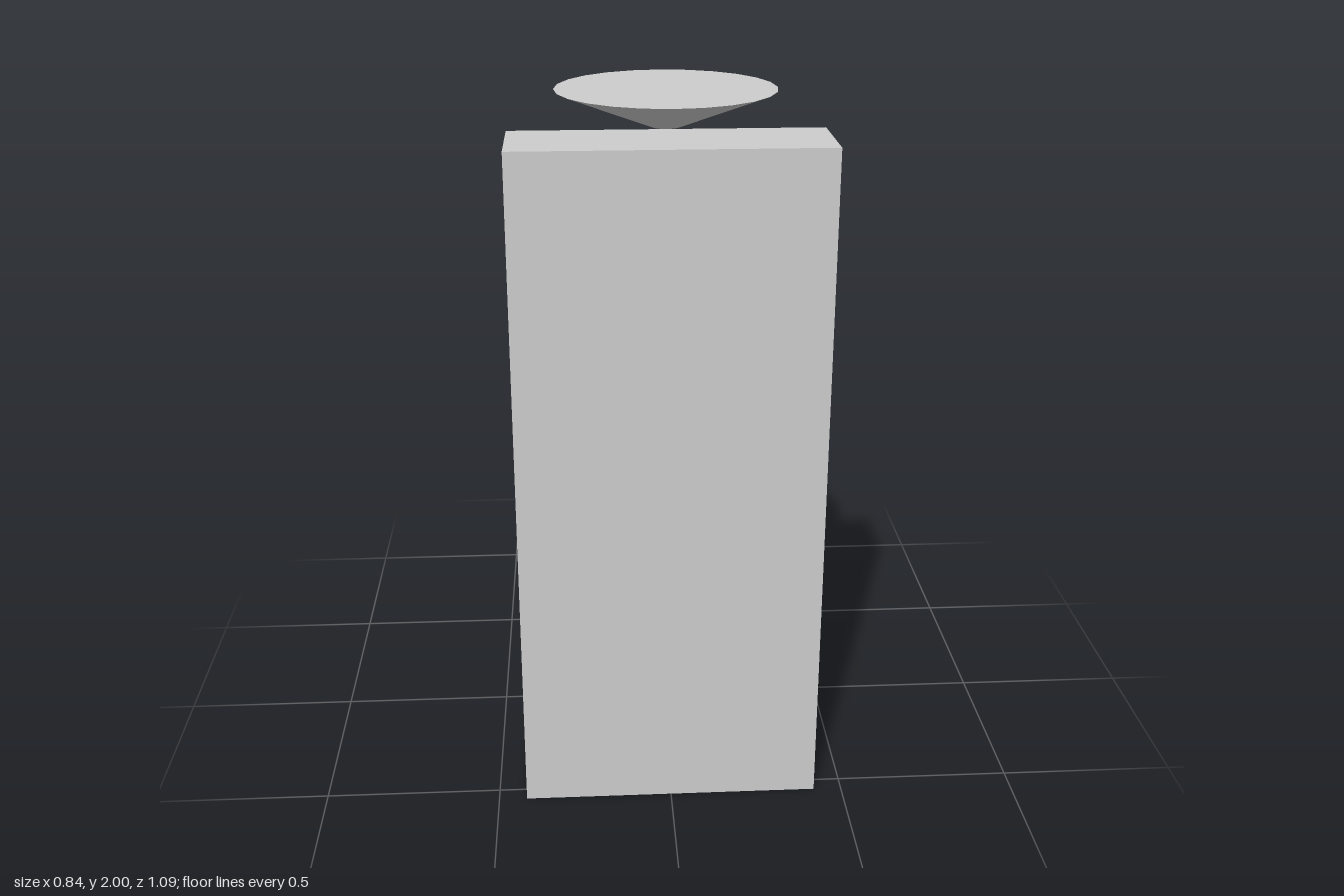
import * as THREE from 'three';
import { toCreasedNormals } from 'three/addons/utils/BufferGeometryUtils.js';

export function createModel() {
  const model = new THREE.Group();
  model.name = 'toiletUnit';

  const grey = new THREE.MeshStandardMaterial({ color: 0xcccccc });
  grey.name = 'light grey';

  const add = (name, geometry, x, y, z) => {
    const mesh = new THREE.Mesh(geometry, grey);
    mesh.name = name;
    mesh.position.set(x, y, z);
    model.add(mesh);
    return mesh;
  };

  // Tall cistern panel
  add('cisternPanel', new THREE.BoxGeometry(0.84, 1.9, 0.255), 0, 0.95, 0.4175);

  // Shallow conical basin on top of the panel
  add('basin', new THREE.CylinderGeometry(0.295, 0.04, 0.1, 24), 0, 1.95, 0.25);

  // Oval bowl: a turned profile in fractions of the rim, stretched to an ellipse
  const profile = [[0, 0], [0.695, 0], [0.742, 0.64], [1, 0.885], [0, 0.885]]
    .map(([r, y]) => new THREE.Vector2(r, y));
  const bowl = new THREE.LatheGeometry(profile, 24).scale(0.42, 1, 0.5);
  add('bowl', toCreasedNormals(bowl, 0.6), 0, 0, -0.045);

  // Flush button on the bowl side of the panel
  const button = new THREE.CylinderGeometry(0.03, 0.03, 0.03, 12).rotateX(Math.PI / 2);
  add('flushButton', button, -0.21, 1.583, 0.29);

  return model;
}
